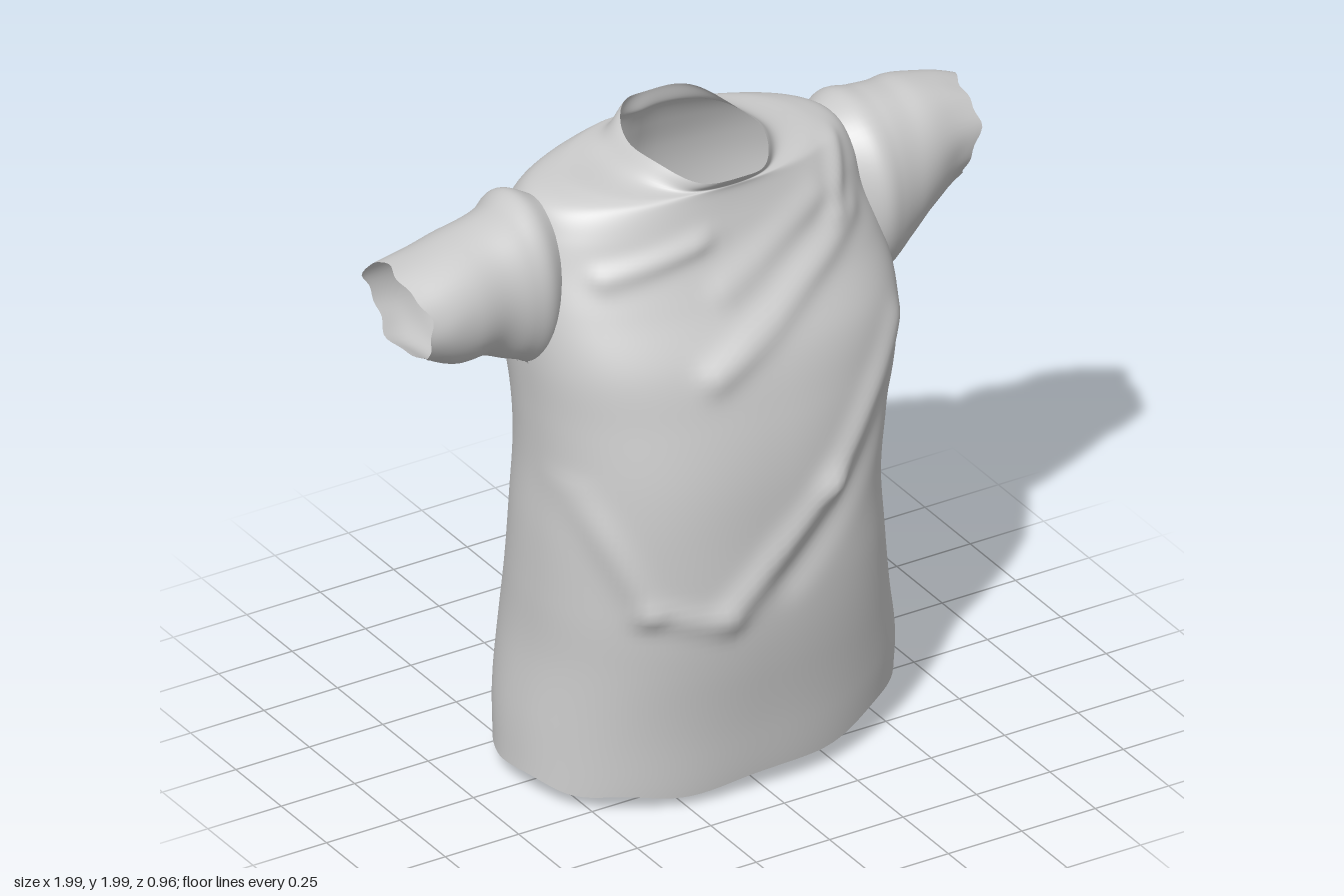
import * as THREE from 'three';

const material = new THREE.MeshStandardMaterial({ color: 0xcccccc, side: THREE.DoubleSide });
const smooth = THREE.MathUtils.smoothstep;

// Smooth interpolation through rows of key values; t runs from 0 to 1
function spline(keys) {
  const size = keys[0].length;
  const cubic = new THREE.CubicInterpolant(keys.map((_, i) => i), keys.flat(), size, new Float32Array(size));
  return t => Array.from(cubic.evaluate(t * (keys.length - 1)));
}

// Open tube of closed rings; keep() may leave out faces to cut a hole
function loft(name, rows, cols, point, keep = () => true) {
  const pts = [], index = [];
  for (let i = 0; i <= rows; i++)
    for (let j = 0; j < cols; j++) pts.push(point(i / rows, (j / cols) * Math.PI * 2));
  for (let i = 0; i < rows; i++)
    for (let j = 0; j < cols; j++) {
      const k = (j + 1) % cols;
      const a = i * cols + j, b = a + cols, c = i * cols + k, d = c + cols;
      if (keep(pts[a]) && keep(pts[d])) index.push(a, b, c, c, b, d);
    }
  const geometry = new THREE.BufferGeometry().setFromPoints(pts);
  geometry.setIndex(index);
  geometry.computeVertexNormals();
  const mesh = new THREE.Mesh(geometry, material);
  mesh.name = name;
  return mesh;
}

const power = (v, n) => Math.sign(v) * Math.abs(v) ** (2 / n);

// Body rings: height, right x, left x, front z, back z, squareness
const body = spline([
  [0.11, -0.61, 0.62, 0.39, -0.42, 2.3],
  [0.25, -0.6, 0.62, 0.41, -0.45, 2.3],
  [0.45, -0.575, 0.585, 0.445, -0.455, 2.3],
  [0.65, -0.57, 0.555, 0.46, -0.425, 2.3],
  [0.85, -0.565, 0.54, 0.46, -0.4, 2.3],
  [1.05, -0.555, 0.565, 0.45, -0.4, 2.3],
  [1.25, -0.56, 0.61, 0.42, -0.41, 2.3],
  [1.42, -0.57, 0.63, 0.375, -0.43, 2.4],
  [1.58, -0.57, 0.61, 0.285, -0.44, 2.5],
  [1.7, -0.55, 0.58, 0.225, -0.43, 2.5],
  [1.8, -0.52, 0.56, 0.195, -0.4, 2.4],
  [1.87, -0.48, 0.52, 0.18, -0.37, 2.1],
  [1.9, -0.38, 0.43, 0.18, -0.345, 2],
  [1.915, -0.24, 0.29, 0.185, -0.315, 2],
  [1.965, -0.165, 0.22, 0.225, -0.3, 2],
]);

// Cloth folds: side (1 front, -1 back), start x y, end x y, width, height
const folds = [
  [1, 0.42, 1.7, -0.15, 1.4, 0.05, 0.022],
  [1, 0.3, 1.78, -0.05, 1.62, 0.05, 0.014],
  [1, 0.52, 1.35, 0.2, 0.98, 0.05, 0.025],
  [1, 0.2, 0.98, -0.15, 0.66, 0.05, 0.022],
  [1, 0.45, 1.1, 0.05, 0.72, 0.06, -0.016],
  [1, -0.54, 1.05, -0.38, 0.68, 0.04, 0.025],
  [1, -0.38, 0.68, -0.15, 0.62, 0.04, 0.014],
  [1, -0.4, 1.7, -0.1, 1.76, 0.035, 0.018],
  [1, 0.36, 1.72, 0.44, 1.9, 0.035, 0.02],
  [-1, 0.5, 1.3, 0.1, 0.7, 0.05, 0.022],
  [-1, 0.1, 0.7, -0.42, 0.15, 0.05, 0.024],
  [-1, 0.5, 1.05, 0.05, 0.45, 0.05, 0.022],
  [-1, 0.4, 1.3, 0, 0.8, 0.04, -0.016],
  [-1, 0, 1.9, 0.02, 1.55, 0.06, -0.016],
  [-1, -0.25, 1.4, -0.3, 1.0, 0.06, 0.012],
].map(([side, x0, y0, x1, y1, width, height]) => ({
  side, width, height,
  line: new THREE.Line3(new THREE.Vector3(x0, y0, 0), new THREE.Vector3(x1, y1, 0)),
}));

const near = new THREE.Vector3(), flat = new THREE.Vector3();
function foldHeight(x, y, side) {
  flat.set(x, y, 0);
  let sum = 0.004 * Math.sin(9 * y + 5 * x) * Math.sin(7 * x - 3 * y + side);
  for (const f of folds) {
    if (f.side !== side) continue;
    f.line.closestPointToPoint(flat, true, near);
    sum += f.height * Math.exp(-((near.distanceTo(flat) / f.width) ** 2));
  }
  return sum;
}

function bodyPoint(t, a) {
  const [h, x0, x1, zf, zb, n] = body(t);
  const c = Math.cos(a), s = Math.sin(a);
  const x = (x0 + x1) / 2 + ((x1 - x0) / 2) * power(c, n);
  const z = (zf + zb) / 2 + ((zf - zb) / 2) * power(s, n);
  // Uneven hem and neckline
  const hem = 0.05 * c - 0.06 * Math.max(s, 0) ** 2 + 0.008 * Math.sin(9 * a);
  const neck = -0.025 * s + 0.008 * Math.sin(5 * a);
  const y = h + hem * (1 - smooth(h, 0.1, 0.5)) + neck * smooth(h, 1.88, 1.96);
  const push = foldHeight(x, y, s >= 0 ? 1 : -1) * Math.min(1, Math.abs(s) * 2);
  return new THREE.Vector3(x + push * c * 0.5, y, z + push * s);
}

const outsideArmhole = p =>
  Math.abs(p.x) < 0.4 || ((p.y - 1.62) / 0.23) ** 2 + ((p.z + 0.1) / 0.155) ** 2 > 1;

// Sleeve rings: distance from centre, top y, bottom y, front z, back z
const sleeves = {
  leftSleeve: [1, [
    [0.5, 1.86, 1.38, 0.07, -0.28],
    [0.58, 1.89, 1.335, 0.125, -0.345],
    [0.65, 1.885, 1.33, 0.12, -0.335],
    [0.72, 1.88, 1.38, 0.1, -0.315],
    [0.79, 1.88, 1.45, 0.075, -0.31],
    [0.87, 1.86, 1.5, 0.05, -0.285],
    [0.94, 1.835, 1.54, 0.035, -0.25],
  ]],
  rightSleeve: [-1, [
    [0.47, 1.87, 1.4, 0.06, -0.27],
    [0.54, 1.9, 1.365, 0.115, -0.325],
    [0.61, 1.88, 1.41, 0.12, -0.285],
    [0.7, 1.86, 1.45, 0.12, -0.26],
    [0.8, 1.845, 1.47, 0.13, -0.25],
    [0.89, 1.825, 1.49, 0.14, -0.24],
    [0.97, 1.81, 1.52, 0.13, -0.225],
  ]],
};

function sleeve(name, side, keys) {
  const ring = spline(keys);
  return loft(name, 36, 56, (t, a) => {
    const [x, top, bottom, zf, zb] = ring(t);
    const c = Math.cos(a), s = -side * Math.sin(a);
    // Slanted, ragged cuff and soft wrinkles gathering below
    const cuff = (0.025 * c + 0.012 * Math.sin(4 * a) + 0.006 * Math.sin(9 * a)) * smooth(t, 0.6, 1);
    const r = 1 + 0.025 * Math.sin(30 * x + 3 * s) * (0.6 - 0.4 * c) * smooth(t, 0.1, 0.4);
    return new THREE.Vector3(
      side * (x + cuff),
      (top + bottom) / 2 + ((top - bottom) / 2) * c * r,
      (zf + zb) / 2 + ((zf - zb) / 2) * power(s, 2.2) * r);
  });
}

// Loose pointed scrap hanging from the back of the hem
function hemScrap() {
  const shape = new THREE.Shape([[-0.055, 0.13], [-0.02, 0.04], [0.012, 0], [0.016, 0.05], [0.045, 0.13]]
    .map(p => new THREE.Vector2(...p)));
  const mesh = new THREE.Mesh(new THREE.ShapeGeometry(shape), material);
  mesh.position.set(-0.475, 0, -0.3);
  mesh.rotation.y = Math.PI / 4;
  mesh.name = 'hemScrap';
  return mesh;
}

export function createModel() {
  const shirt = new THREE.Group();
  shirt.name = 'shirt';
  shirt.add(loft('body', 112, 128, bodyPoint, outsideArmhole));
  for (const [name, [side, keys]] of Object.entries(sleeves)) shirt.add(sleeve(name, side, keys));
  shirt.add(hemScrap());
  return shirt;
}
